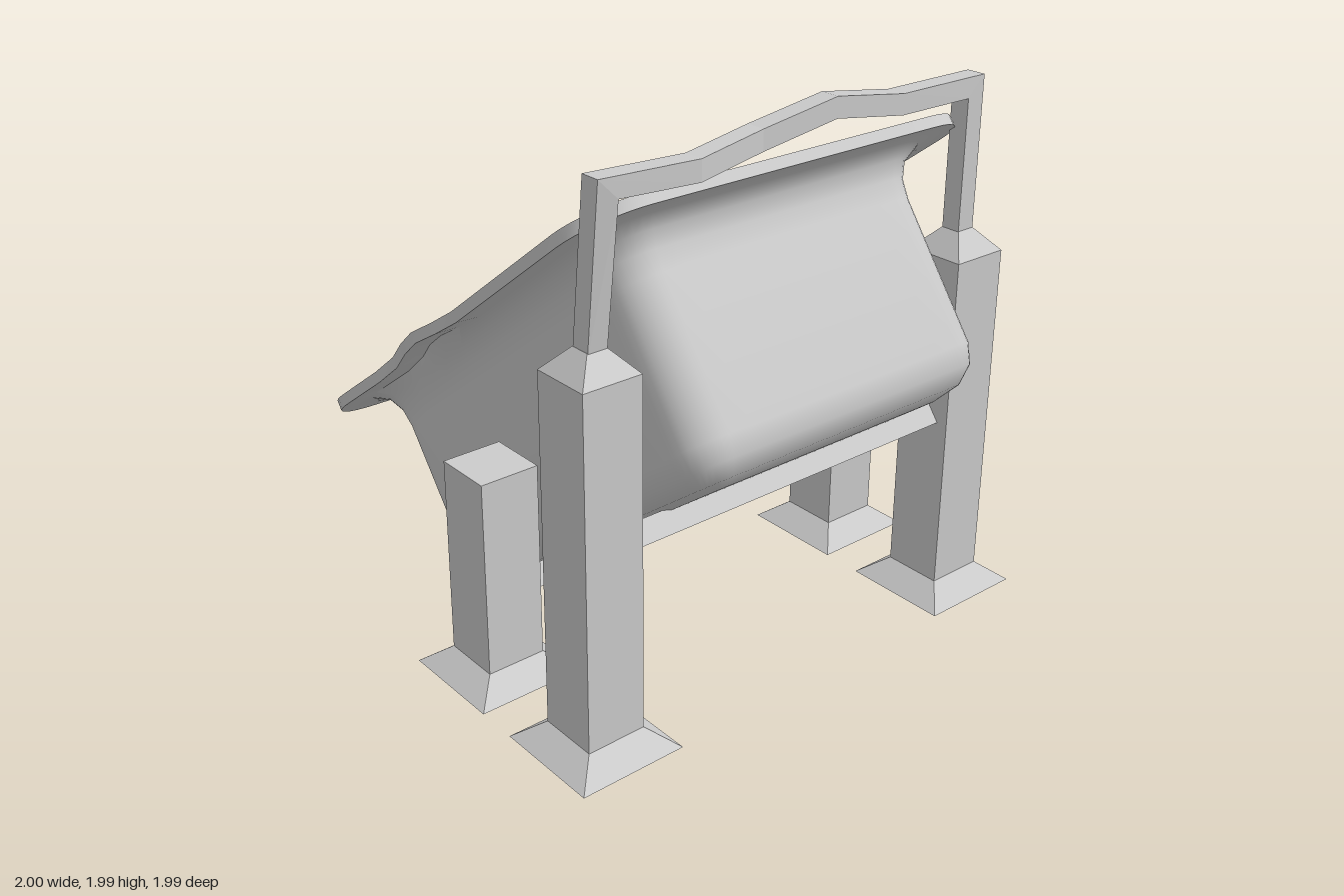
import * as THREE from 'three';
import { toCreasedNormals } from 'three/addons/utils/BufferGeometryUtils.js';

const TILT = -0.647;
const smooth = new THREE.MeshStandardMaterial({ color: 0xcccccc });
const flat = new THREE.MeshStandardMaterial({ color: 0xcccccc, flatShading: true, side: THREE.DoubleSide });

function add(parent, name, geometry, material) {
  const mesh = new THREE.Mesh(geometry, material);
  mesh.name = name;
  parent.add(mesh);
  return mesh;
}

// Skin a series of closed sections, each a list of [x, y, z]
function loft(rings) {
  const n = rings[0].length;
  const index = [];
  for (let i = 0; i < rings.length - 1; i++) {
    for (let j = 0; j < n; j++) {
      const a = i * n + j, b = i * n + (j + 1) % n, c = a + n, d = b + n;
      index.push(a, c, b, b, c, d);
    }
  }
  const geometry = new THREE.BufferGeometry();
  geometry.setAttribute('position', new THREE.Float32BufferAttribute(rings.flat(2), 3));
  geometry.setIndex(index);
  geometry.computeVertexNormals();
  return geometry;
}

// Rounded rectangle with subdivided sides
function roundedRing(hx, hz, r, y, zc) {
  const corners = [[1, 1], [-1, 1], [-1, -1], [1, -1]];
  const steps = 8, side = 12;
  const pts = [];
  corners.forEach(([sx, sz], q) => {
    for (let k = 0; k <= steps; k++) {
      const a = (q + k / steps) * Math.PI / 2;
      pts.push([sx * (hx - r) + r * Math.cos(a), y, zc + sz * (hz - r) + r * Math.sin(a)]);
    }
    const from = pts[pts.length - 1];
    const [nx, nz] = corners[(q + 1) % 4];
    const a = (q + 1) * Math.PI / 2;
    const to = [nx * (hx - r) + r * Math.cos(a), y, zc + nz * (hz - r) + r * Math.sin(a)];
    for (let k = 1; k < side; k++) pts.push(from.map((v, i) => v + (to[i] - v) * k / side));
  });
  return pts;
}

// Dented stretch along one side of the rim
const bump = (z, centre, width) => Math.max(0, 1 - Math.abs(z - centre) / width);
function dent([x, y, z]) {
  if (x > -0.64 || y < 0.99) return [x, y, z];
  return [
    x + 0.035 * bump(z, 0.18, 0.4) - 0.025 * bump(z, 0.44, 0.22),
    y + 0.03 * bump(z, 0.4, 0.3),
    z,
  ];
}

function makeBasin() {
  // half width, half length, corner radius, height: up the outside, over the rim, down the inside
  const sections = [
    [0, 0, 0, 0.18],
    [0.50, 0.68, 0.06, 0.18],
    [0.575, 0.765, 0.09, 0.2],
    [0.62, 0.825, 0.12, 0.25],
    [0.64, 0.85, 0.14, 0.32],
    [0.64, 0.86, 0.14, 0.84],
    [0.65, 0.87, 0.15, 0.91],
    [0.675, 0.9, 0.17, 0.965],
    [0.72, 0.96, 0.19, 1.0],
    [0.815, 1.067, 0.22, 1.0],
    [0.815, 1.067, 0.22, 1.04],
    [0.68, 0.93, 0.17, 1.04],
    [0.64, 0.88, 0.15, 1.01],
    [0.612, 0.84, 0.13, 0.94],
    [0.602, 0.825, 0.12, 0.84],
    [0.6, 0.815, 0.12, 0.35],
    [0.585, 0.79, 0.1, 0.275],
    [0.545, 0.74, 0.08, 0.23],
    [0.48, 0.66, 0.06, 0.21],
    [0, 0, 0, 0.21],
  ];
  const rings = sections.map(([hx, hz, r, y]) => roundedRing(hx, hz, r, y, 0.605).map(dent));
  return toCreasedNormals(loft(rings), 0.75);
}

// Square post on a flared hollow foot, as a four-sided lathe
function makePost(profile) {
  const pts = profile.map(([r, y]) => new THREE.Vector2(r * Math.SQRT2, y));
  return new THREE.LatheGeometry(pts, 4, Math.PI / 4);
}

// Bent square bar: path point followed by the outward direction of its section
function makeHandle() {
  const path = [
    [-0.797, 1.38, 0.685, -1, 0],
    [-0.797, 1.905, 0.745, -1, 1],
    [-0.46, 1.89, 0.748, 0, 1],
    [-0.16, 1.905, 0.682, 0, 1],
    [0.15, 1.95, 0.682, 0, 1],
    [0.45, 1.905, 0.682, 0, 1],
    [0.797, 1.905, 0.685, 1, 1],
    [0.797, 1.38, 0.685, 1, 0],
  ];
  const h = 0.036;
  return loft(path.map(([x, y, z, ox, oy]) =>
    [[1, 1], [1, -1], [-1, -1], [-1, 1]].map(([o, s]) => [x + o * ox * h, y + o * oy * h, z + s * h])));
}

export function createModel() {
  const model = new THREE.Group();
  model.name = 'tiltedTubOnStand';

  const basin = add(model, 'basin', makeBasin(), smooth);
  basin.rotation.x = TILT;

  // Four posts
  const foot = [[0.2, 0], [0.11, 0.07]];
  const tall = makePost([...foot, [0.11, 1.32], [0.036, 1.4], [0, 1.4]]);
  const short = makePost([...foot, [0.11, 0.79], [0, 0.79]]);
  for (const side of [1, -1]) {
    const label = side > 0 ? 'left' : 'right';
    add(model, label + 'FrontPost', tall, flat).position.set(side * 0.798, 0, 0.685);
    add(model, label + 'BackPost', short, flat).position.set(side * 0.798, 0, 0.135);
  }

  // Cross bars carrying the tub
  const bar = new THREE.BoxGeometry(1.4, 0.081, 0.108);
  for (const [name, y, z] of [['upperCrossBar', 0.705, 0.685], ['lowerCrossBar', 0.295, 0.135]]) {
    const mesh = add(model, name, bar, flat);
    mesh.position.set(0, y, z);
    mesh.rotation.x = TILT;
  }

  add(model, 'handle', makeHandle(), flat);
  return model;
}
